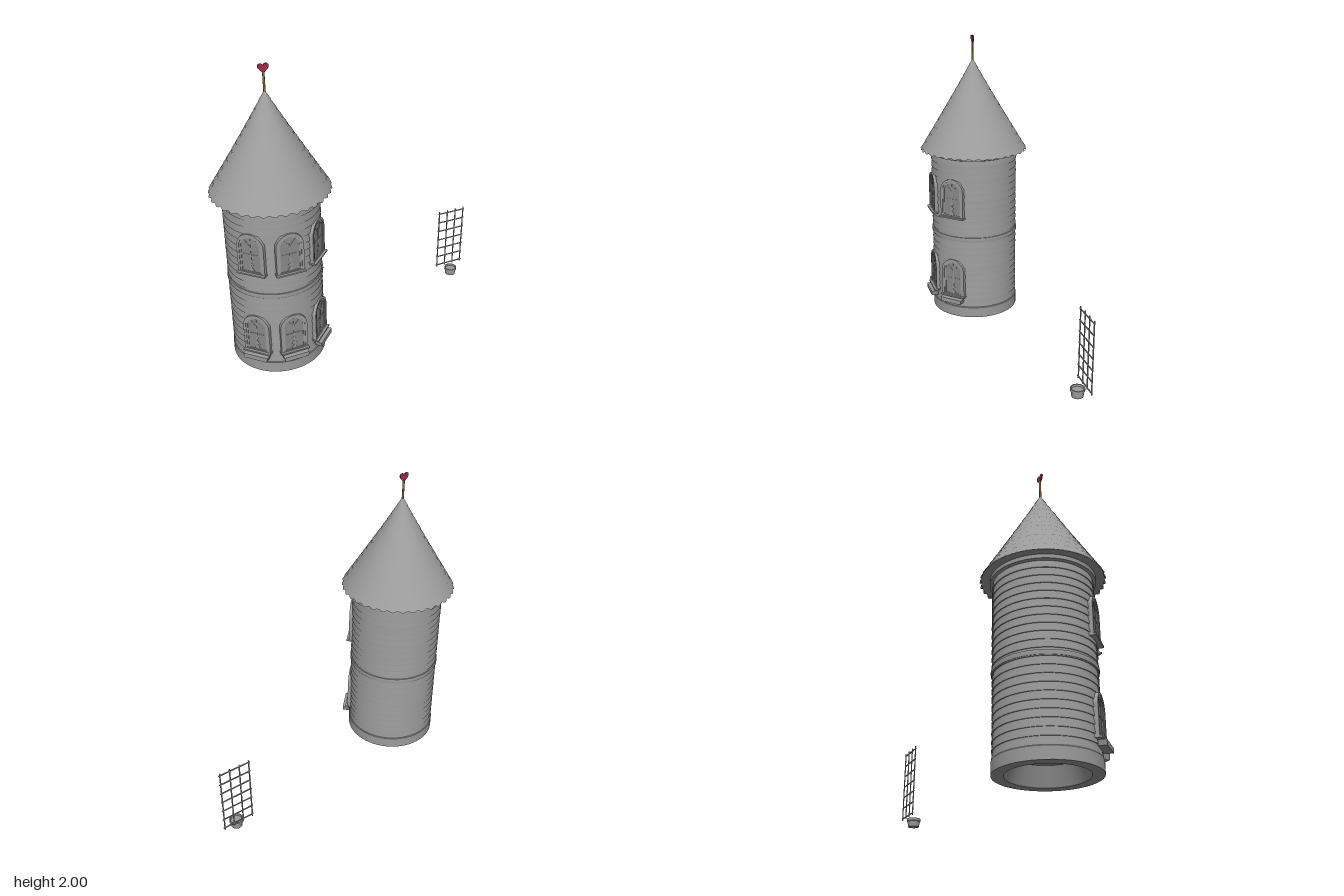
import * as THREE from 'three';
import { toCreasedNormals } from 'three/addons/utils/BufferGeometryUtils.js';

const mat = (name, color, side = THREE.FrontSide) => {
  const m = new THREE.MeshStandardMaterial({ color, side });
  m.name = name;
  return m;
};

export function createModel() {
  const grey = mat('plaster grey', 0x9c9c9c);
  const sheet = mat('shingle grey', 0x9c9c9c, THREE.DoubleSide);
  const glass = mat('window grey', 0x8a8a8a);
  const gold = mat('pole brown', 0x8f6f32);
  const red = mat('heart red', 0x9c2f4c);

  const model = new THREE.Group();
  const tower = new THREE.Group();
  tower.name = 'tower';
  tower.position.x = -0.615;
  model.add(tower);

  const add = (parent, name, geo, m, x = 0, y = 0, z = 0) => {
    const mesh = new THREE.Mesh(geo, m);
    mesh.name = name;
    mesh.position.set(x, y, z);
    parent.add(mesh);
    return mesh;
  };
  const lathe = (pts, n = 64) => toCreasedNormals(
    new THREE.LatheGeometry(pts.map(p => new THREE.Vector2(...p)), n), 0.5);
  const box = (w, h, d) => new THREE.BoxGeometry(w, h, d);

  // Hollow plinth
  add(tower, 'plinth', lathe([[0, 0.12], [0.2, 0.12], [0.24, 0], [0.311, 0], [0.311, 0.075], [0.306, 0.081], [0.29, 0.081]]), grey);

  // Overlapping siding courses
  const siding = [];
  const courses = 22, step = 1.1 / courses;
  for (let i = 0; i < courses; i++) {
    const y = 0.08 + i * step;
    siding.push([0.301, y], [0.307, y], [0.307, y + 0.012], [0.301, y + step - 0.002]);
  }
  add(tower, 'siding', lathe(siding), grey);
  add(tower, 'middleBand', lathe([[0.3, 0.585], [0.31, 0.585], [0.312, 0.6], [0.31, 0.615], [0.3, 0.615]]), grey);
  add(tower, 'cornice', lathe([[0.3, 1.175], [0.32, 1.182], [0.32, 1.21], [0.3, 1.21]]), grey);

  // Roof core with a flat underside
  const roofR = y => 0.374 * Math.pow((1.84 - y) / 0.635, 1.04);
  const core = [[0, 1.207]];
  for (let i = 0; i <= 8; i++) {
    const y = 1.207 + i * 0.079;
    core.push([roofR(y), y]);
  }
  add(tower, 'roofCore', lathe(core, 36), grey);

  // Scalloped shingle rows
  const rows = 12, tiles = 36, sub = 4;
  for (let i = 0; i < rows; i++) {
    const y0 = 1.2 + i * 0.052, y1 = Math.min(y0 + 0.062, 1.838);
    const rTop = roofR(y1) + 0.001, rBot = roofR(y0) + 0.0045;
    const row = new THREE.CylinderGeometry(rTop, rBot, y1 - y0, tiles * sub, 1, true);
    const p = row.attributes.position;
    for (let k = 0; k < p.count; k++) {
      if (p.getY(k) > 0) continue;
      const a = Math.atan2(p.getX(k), p.getZ(k)) / (2 * Math.PI) + 1;
      const u = ((a * tiles + (i % 2) / 2) % 1) * 2 - 1;
      const lift = 0.26 * u * u;
      const s = 1 + (rTop / rBot - 1) * lift;
      p.setXYZ(k, p.getX(k) * s, p.getY(k) + (y1 - y0) * lift, p.getZ(k) * s);
    }
    add(tower, 'shingleRow', row, sheet, 0, (y0 + y1) / 2, 0);
  }

  // Finial pole and heart
  add(tower, 'pole', new THREE.CylinderGeometry(0.007, 0.007, 0.14, 10), gold, 0, 1.885, 0);
  const heart = new THREE.Shape();
  heart.moveTo(0, -0.034);
  heart.bezierCurveTo(-0.012, -0.02, -0.034, -0.008, -0.034, 0.01);
  heart.bezierCurveTo(-0.034, 0.029, -0.006, 0.032, 0, 0.014);
  heart.bezierCurveTo(0.006, 0.032, 0.034, 0.029, 0.034, 0.01);
  heart.bezierCurveTo(0.034, -0.008, 0.012, -0.02, 0, -0.034);
  add(tower, 'heart', new THREE.ExtrudeGeometry(heart, { depth: 0.008, bevelEnabled: false }), red, 0, 1.975, -0.004);

  // Arched outline: half width w, from y0 up to a semicircle starting at spring
  const arch = (w, y0, spring, Type = THREE.Shape) => {
    const s = new Type();
    s.moveTo(-w, y0);
    s.lineTo(w, y0);
    s.lineTo(w, spring);
    s.absarc(0, spring, w, 0, Math.PI, false);
    s.lineTo(-w, y0);
    return s;
  };
  const archFrame = (w, t, y0, spring, depth) => {
    const s = arch(w, y0, spring);
    s.holes.push(arch(w - t, y0 + t * 0.6, spring, THREE.Path));
    return new THREE.ExtrudeGeometry(s, { depth, bevelEnabled: false, curveSegments: 16 });
  };
  const tri = new THREE.Shape();
  tri.moveTo(-0.022, -0.012);
  tri.lineTo(0.022, -0.012);
  tri.lineTo(0, 0.02);
  const triGeo = new THREE.ExtrudeGeometry(tri, { depth: 0.003, bevelEnabled: false });

  const makeWindow = (angle, y, planter) => {
    const holder = new THREE.Group();
    holder.name = 'window';
    holder.rotation.y = angle;
    holder.position.y = y;
    tower.add(holder);
    add(holder, 'trim', archFrame(0.09, 0.016, 0, 0.19, 0.034), grey, 0, 0, 0.282);
    add(holder, 'sash', archFrame(0.074, 0.012, 0.008, 0.19, 0.025), grey, 0, 0, 0.287);
    add(holder, 'pane', new THREE.ExtrudeGeometry(arch(0.064, 0.01, 0.19), { depth: 0.008, bevelEnabled: false }), glass, 0, 0, 0.3005);
    add(holder, 'sill', box(0.19, 0.01, 0.05), grey, 0, 0.001, 0.307);
    // Glazing bars and decorative stack
    add(holder, 'uprightBar', box(0.004, 0.235, 0.004), grey, 0, 0.13, 0.309);
    add(holder, 'crossBar', box(0.1, 0.004, 0.004), grey, 0, 0.135, 0.309);
    for (const s of [-1, 1]) {
      const spoke = add(holder, 'spoke', box(0.004, 0.055, 0.004), grey, s * 0.022, 0.215, 0.309);
      spoke.rotation.z = -s * 0.7;
    }
    for (let i = 0; i < 3; i++) {
      const ornament = add(holder, 'ornament', triGeo, grey, 0, 0.03 + i * 0.034, 0.308);
      ornament.scale.setScalar(1 - i * 0.18);
    }
    if (!planter) return;
    // Tapered flower box
    const s = new THREE.Shape();
    s.moveTo(-0.078, 0);
    s.lineTo(0.078, 0);
    s.lineTo(0.086, 0.032);
    s.lineTo(-0.086, 0.032);
    add(holder, 'planter', new THREE.ExtrudeGeometry(s, { depth: 0.05, bevelEnabled: false }), grey, 0, -0.045, 0.302);
  };
  for (const a of [-Math.PI / 4, 0, Math.PI / 4]) {
    makeWindow(a, 0.16, true);
    makeWindow(a, 0.76, false);
  }

  // Free-standing trellis
  const trellis = new THREE.Group();
  trellis.name = 'trellis';
  trellis.position.set(0.885, 0, -0.28);
  model.add(trellis);
  for (let i = 0; i < 4; i++) add(trellis, 'trellisUpright', box(0.007, 0.485, 0.006), grey, -0.102 + i * 0.068, 0.303, 0);
  for (let i = 0; i < 7; i++) add(trellis, 'trellisRung', box(0.222, 0.007, 0.006), grey, 0, 0.075 + i * 0.0757, 0.002);

  // Flower pot with a rim
  add(model, 'pot', lathe([[0, 0], [0.037, 0], [0.041, 0.036], [0.046, 0.038], [0.046, 0.056], [0.039, 0.056], [0.037, 0.044], [0, 0.044]], 24), grey, 0.88, 0, -0.236);

  return model;
}
